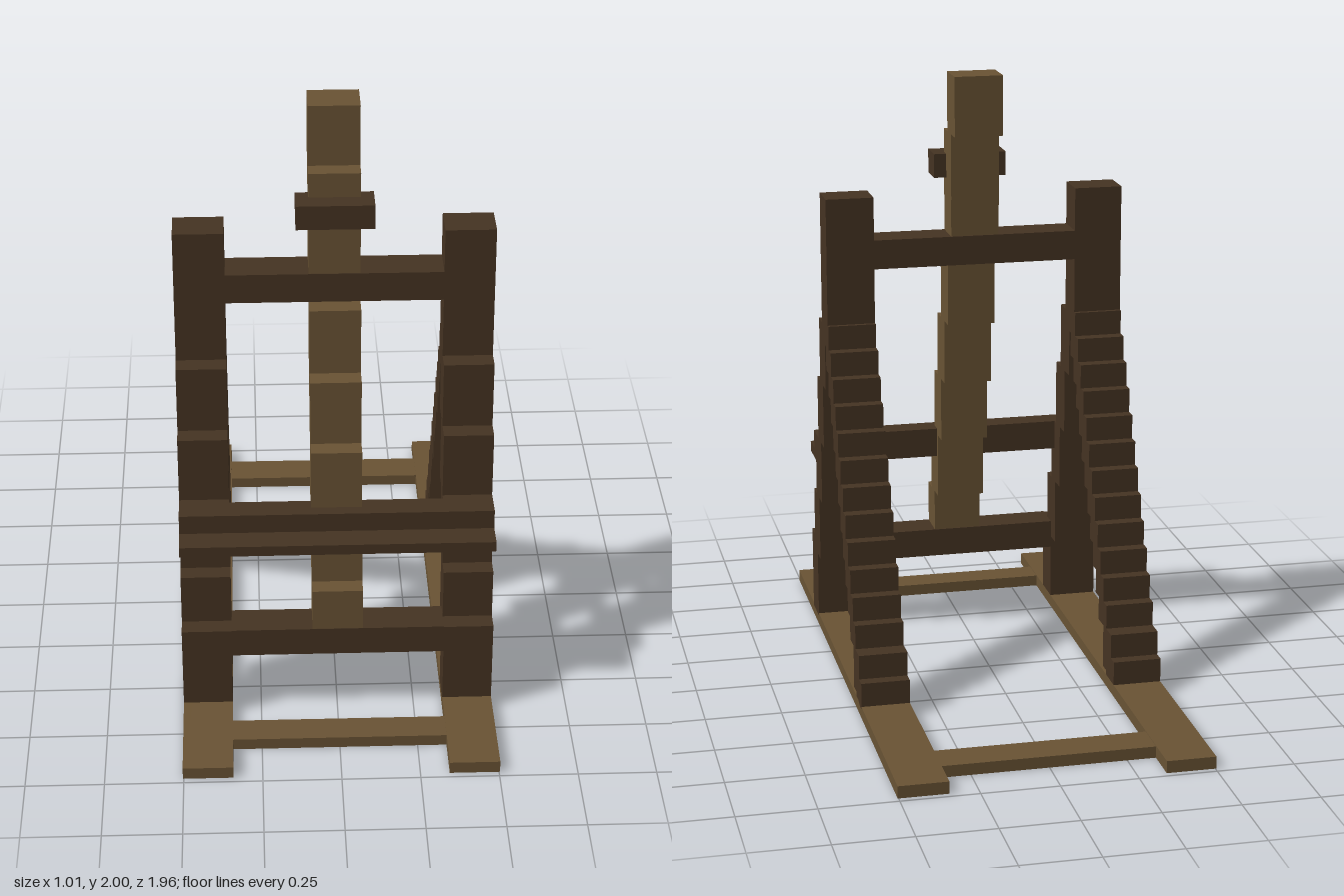
import * as THREE from 'three';

export function createModel() {
  const model = new THREE.Group();
  model.name = 'easel';
  const lightWood = new THREE.MeshStandardMaterial({ name: 'lightWood', color: 0x695334 });
  const darkWood = new THREE.MeshStandardMaterial({ name: 'darkWood', color: 0x453322 });

  // Box given by its limits on each axis
  function block(parent, name, material, [x0, x1], [y0, y1], [z0, z1]) {
    const mesh = new THREE.Mesh(new THREE.BoxGeometry(x1 - x0, y1 - y0, z1 - z0), material);
    mesh.position.set((x0 + x1) / 2, (y0 + y1) / 2, (z0 + z1) / 2);
    mesh.name = name;
    parent.add(mesh);
  }
  function group(name) {
    const g = new THREE.Group();
    g.name = name;
    model.add(g);
    return g;
  }

  // Stepped front leg: bottom, top, back, front
  const legSteps = [
    [0.03, 0.32, 0.52, 0.635],
    [0.265, 0.49, 0.46, 0.575],
    [0.49, 0.71, 0.4, 0.518],
    [0.71, 0.932, 0.338, 0.457],
    [0.932, 1.155, 0.277, 0.395],
    [1.09, 1.6, 0.213, 0.333],
  ];

  // Left and right frames: ground rail, front leg, rear strut
  for (const [side, x] of [['left', [0.343, 0.503]], ['right', [-0.503, -0.343]]]) {
    block(model, side + 'GroundRail', lightWood, x, [0, 0.04], [-0.98, 0.98]);
    const leg = group(side + 'FrontLeg');
    for (const [y0, y1, z0, z1] of legSteps) block(leg, 'legStep', darkWood, x, [y0, y1], [z0, z1]);
    const strut = group(side + 'RearStrut');
    for (let k = 0; k < 14; k++) {
      const back = k === 0 ? -0.352 : k === 1 ? -0.312 : -0.25 + 0.0408 * (k - 2);
      const top = 0.12 + 0.081 * k;
      const bottom = k < 2 ? 0.03 + 0.025 * k : top - 0.083;
      block(strut, 'strutStep', darkWood, x, [bottom, top], [back, back + 0.099]);
    }
  }

  // Bars joining the ground rails
  const inner = [-0.343, 0.343];
  block(model, 'frontGroundBar', lightWood, inner, [0, 0.038], [0.735, 0.835]);
  block(model, 'rearGroundBar', lightWood, inner, [0, 0.038], [-0.86, -0.74]);

  // Crossbars between the legs
  block(model, 'lowerCrossbar', darkWood, inner, [0.225, 0.322], [0.52, 0.635]);
  block(model, 'upperCrossbar', darkWood, inner, [1.357, 1.455], [0.213, 0.333]);

  // Canvas shelf with front lip
  block(model, 'shelfBar', darkWood, [-0.503, 0.503], [0.61, 0.71], [0.475, 0.555]);
  block(model, 'shelfLip', darkWood, [-0.503, 0.503], [0.61, 0.645], [0.515, 0.637]);

  // Stepped central mast
  const mast = group('mast');
  const mastSteps = [
    [0.245, 0.466, 0.523, 0.633],
    [0.466, 0.612, 0.46, 0.575],
    [0.612, 0.69, 0.46, 0.545],
    [0.69, 0.912, 0.4, 0.516],
    [0.912, 1.134, 0.338, 0.457],
    [1.134, 1.357, 0.277, 0.395],
    [1.357, 1.58, 0.217, 0.33],
    [1.58, 1.8, 0.215, 0.333],
    [1.8, 2, 0.154, 0.275],
  ];
  for (const [y0, y1, z0, z1] of mastSteps) block(mast, 'mastStep', lightWood, [-0.081, 0.081], [y0, y1], [z0, z1]);

  // Top canvas clamp
  block(model, 'canvasClamp', darkWood, [-0.122, 0.122], [1.64, 1.72], [0.295, 0.395]);

  return model;
}
